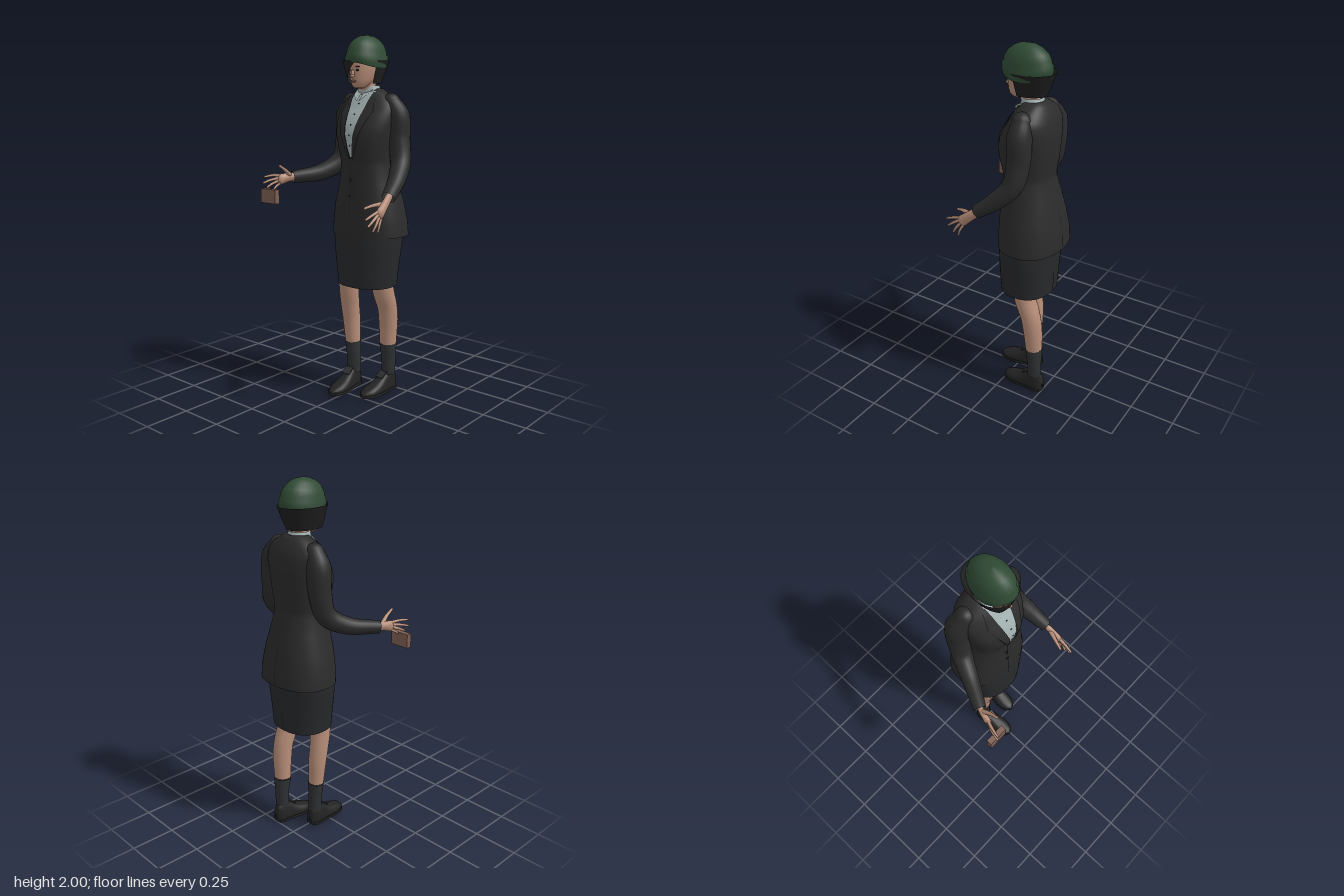
import * as THREE from 'three';
import { mergeVertices } from 'three/addons/utils/BufferGeometryUtils.js';

const mat = (name, color, side = THREE.DoubleSide) =>
  Object.assign(new THREE.MeshStandardMaterial({ color, side }), { name });
const M = {
  jacket: mat('jacket charcoal', 0x2b2b2c),
  skirt: mat('skirt charcoal', 0x28292b),
  skin: mat('skin', 0xb58c77),
  shirt: mat('shirt grey', 0xa2b0b0),
  hat: mat('hat green', 0x2f4a34),
  hair: mat('hair black', 0x1f1f20),
  sock: mat('sock grey', 0x2f3032),
  shoe: mat('shoe black', 0x232324),
  block: mat('case brown', 0x7d5f54),
  lips: mat('lips', 0x8d5a50),
};

export function createModel() {
  const model = new THREE.Group();
  model.name = 'standingFigure';
  const add = (name, geo, material, parent = model) => {
    const mesh = new THREE.Mesh(geo, material);
    mesh.name = name;
    parent.add(mesh);
    return mesh;
  };

  // Grid surface from fn(u, v) -> [x, y, z]
  const surface = (nu, nv, fn) => {
    const p = [], idx = [];
    for (let j = 0; j <= nv; j++)
      for (let i = 0; i <= nu; i++) p.push(...fn(i / nu, j / nv));
    for (let j = 0; j < nv; j++)
      for (let i = 0; i < nu; i++) {
        const a = j * (nu + 1) + i, d = a + nu + 1;
        idx.push(a, a + 1, d, a + 1, d + 1, d);
      }
    let g = new THREE.BufferGeometry();
    g.setAttribute('position', new THREE.Float32BufferAttribute(p, 3));
    g.setIndex(idx);
    g = mergeVertices(g, 1e-5);
    g.computeVertexNormals();
    return g;
  };

  const sgnPow = (v, e) => Math.sign(v) * Math.abs(v) ** e;

  // Linear sample of rows keyed by their first number
  const sample = (rows, k) => {
    let i = 0;
    while (i < rows.length - 2 && k > rows[i + 1][0]) i++;
    const a = rows[i], b = rows[i + 1];
    const t = THREE.MathUtils.clamp((k - a[0]) / (b[0] - a[0]), 0, 1);
    return a.map((n, c) => n + (b[c] - n) * t);
  };

  // Stack of oval rings [y, cx, cz, rx, rz]
  const loft = (rings, n = 2, seg = 48) => surface(seg, rings.length - 1, (u, v) => {
    const [y, cx, cz, rx, rz] = rings[Math.round(v * (rings.length - 1))];
    const a = u * Math.PI * 2;
    return [cx + rx * sgnPow(Math.sin(a), 2 / n), y, cz + rz * sgnPow(Math.cos(a), 2 / n)];
  });

  // Tapered tube through [x, y, z, radius], with optional rounded tip
  const limb = (name, pts, material, { flat = 1, tip = false, parent = model, seg = 20, rad = 20 } = {}) => {
    const curve = new THREE.CatmullRomCurve3(pts.map(p => new THREE.Vector3(p[0], p[1], p[2])));
    const radii = pts.map((p, i) => [i / (pts.length - 1), p[3]]);
    const g = new THREE.TubeGeometry(curve, seg, 1, rad);
    const pos = g.attributes.position, q = new THREE.Vector3();
    for (let i = 0; i <= seg; i++) {
      const c = curve.getPointAt(i / seg), r = sample(radii, curve.getUtoTmapping(i / seg))[1];
      for (let j = 0; j <= rad; j++) {
        const k = i * (rad + 1) + j;
        q.fromBufferAttribute(pos, k).sub(c).multiplyScalar(r);
        pos.setXYZ(k, c.x + q.x * flat, c.y + q.y, c.z + q.z);
      }
    }
    add(name, g, material, parent);
    if (tip) ball(name + 'Tip', pts.at(-1), [pts.at(-1)[3] * flat, pts.at(-1)[3], pts.at(-1)[3]], material, parent);
  };

  const ball = (name, at, size, material, parent = model) => {
    const m = add(name, new THREE.SphereGeometry(1, 16, 12), material, parent);
    m.position.set(at[0], at[1], at[2]);
    m.scale.set(...size);
    return m;
  };

  // Jacket body
  const torso = [
    [0.925, 0.06, -0.14, 0.22, 0.17], [1.0, 0.06, -0.137, 0.214, 0.17], [1.1, 0.06, -0.13, 0.195, 0.16],
    [1.2, 0.06, -0.123, 0.166, 0.146], [1.3, 0.06, -0.11, 0.147, 0.129], [1.34, 0.06, -0.108, 0.146, 0.131],
    [1.4, 0.06, -0.106, 0.155, 0.143], [1.48, 0.06, -0.105, 0.168, 0.15], [1.53, 0.06, -0.113, 0.176, 0.143],
    [1.58, 0.06, -0.125, 0.18, 0.128], [1.62, 0.06, -0.135, 0.178, 0.11], [1.65, 0.06, -0.138, 0.164, 0.096],
    [1.68, 0.06, -0.14, 0.13, 0.078], [1.70, 0.06, -0.14, 0.095, 0.064], [1.72, 0.06, -0.14, 0.065, 0.052],
    [1.72, 0.06, -0.14, 0.0001, 0.0001],
  ];
  add('jacketBody', loft(torso, 2.3, 64), M.jacket);

  // Thin patch that hugs a lofted body between two x edges; dir -1 is the back
  const patch = (name, rings, n, y0, y1, edges, off, material, dir = 1, nu = 8) =>
    add(name, surface(nu, 20, (u, v) => {
      const y = y0 + (y1 - y0) * v, [xa, xb] = edges(v), x = xa + (xb - xa) * u;
      const [, cx, cz, rx, rz] = sample(rings, y);
      const d = Math.min(1, Math.abs((x - cx) / rx));
      return [x, y, cz + dir * (rz * (1 - d ** n) ** (1 / n) + off)];
    }), material);
  const vEdge = v => 0.006 + 0.062 * v;
  patch('shirtFront', torso, 2.3, 1.36, 1.705, v => [0.06 - vEdge(v), 0.06 + vEdge(v)], 0.004, M.shirt);
  patch('jacketFrontSeam', torso, 2.3, 0.93, 1.36, () => [0.051, 0.054], 0.003, M.hair, 1, 1);
  patch('jacketBackVent', torso, 2.3, 0.93, 1.15, () => [0.056, 0.061], 0.003, M.hair, -1, 1);
  for (const s of [-1, 1]) {
    const wide = v => v < 0.72 ? 0.012 + 0.085 * v : 0.073 - 0.19 * (v - 0.72);
    patch('lapel', torso, 2.3, 1.35, 1.7, v => [0.06 + s * vEdge(v) * 0.93, 0.06 + s * (vEdge(v) + wide(v) * 0.75)],
      0.009, M.jacket);
    patch('lapelEdge', torso, 2.3, 1.35, 1.62, v => {
      const e = vEdge(v * 0.77) + wide(v * 0.77) * 0.75;
      return [0.06 + s * e, 0.06 + s * (e + 0.003)];
    }, 0.005, M.hair, 1, 1);
  }
  for (const y of [1.235, 1.15]) {
    const [, , cz, , rz] = sample(torso, y);
    ball('jacketButton', [0.046, y, cz + rz + 0.002], [0.009, 0.009, 0.004], M.hair);
  }
  for (let y = 1.42; y < 1.66; y += 0.055) {
    const [, , cz, , rz] = sample(torso, y);
    ball('shirtButton', [0.06, y, cz + rz + 0.005], [0.004, 0.004, 0.003], M.sock);
  }

  // Collar
  add('shirtCollar', loft([[1.68, 0.06, -0.13, 0.075, 0.066], [1.715, 0.06, -0.122, 0.062, 0.06],
    [1.735, 0.06, -0.118, 0.056, 0.057]]), M.shirt);
  for (const s of [-1, 1])
    add('collarWing', surface(1, 1, (u, v) => [0.06 + s * (0.006 + 0.05 * u - 0.012 * v * u),
      1.695 + 0.02 * u - v * (0.045 - 0.015 * u), -0.062 - 0.025 * u + 0.042 * v]), M.shirt);

  // Skirt
  const skirt = [[0.64, 0.0625, -0.112, 0.167, 0.143], [0.72, 0.0625, -0.112, 0.176, 0.146],
    [0.82, 0.061, -0.115, 0.191, 0.148], [0.92, 0.06, -0.12, 0.204, 0.15], [1.0, 0.06, -0.125, 0.2, 0.145]];
  add('skirt', loft(skirt, 2.3), M.skirt);
  patch('skirtVent', skirt, 2.3, 0.642, 0.76, () => [0.057, 0.063], 0.003, M.hair, -1, 1);

  // Sleeves
  limb('rightSleeve', [[-0.075, 1.645, -0.14, 0.05], [-0.115, 1.575, -0.15, 0.066], [-0.125, 1.45, -0.15, 0.061],
    [-0.14, 1.325, -0.12, 0.055], [-0.19, 1.26, -0.02, 0.047], [-0.275, 1.236, 0.135, 0.034]], M.jacket, { seg: 40 });
  limb('leftSleeve', [[0.195, 1.645, -0.14, 0.05], [0.232, 1.575, -0.15, 0.065], [0.242, 1.45, -0.15, 0.061],
    [0.268, 1.33, -0.13, 0.055], [0.3, 1.24, -0.05, 0.047], [0.325, 1.165, 0.05, 0.036]], M.jacket, { seg: 40 });
  ball('rightShoulder', [-0.075, 1.645, -0.14], [0.051, 0.051, 0.051], M.jacket);
  ball('leftShoulder', [0.195, 1.645, -0.14], [0.051, 0.051, 0.051], M.jacket);

  // Hands: palm, four fingers and a thumb
  const hand = (name, palm, fingers, thumb) => {
    const g = new THREE.Group();
    g.name = name;
    model.add(g);
    limb('palm', palm, M.skin, { flat: 0.55, tip: true, parent: g });
    for (const f of fingers) limb('finger', f, M.skin, { tip: true, parent: g, seg: 6, rad: 8 });
    limb('thumb', thumb, M.skin, { tip: true, parent: g, seg: 6, rad: 8 });
  };
  hand('rightHand',
    [[-0.262, 1.238, 0.11, 0.023], [-0.28, 1.237, 0.155, 0.025], [-0.293, 1.23, 0.2, 0.029]],
    [[[-0.294, 1.248, 0.205, 0.0095], [-0.312, 1.253, 0.255, 0.008], [-0.323, 1.248, 0.302, 0.006]],
      [[-0.296, 1.235, 0.21, 0.0095], [-0.318, 1.228, 0.26, 0.008], [-0.328, 1.215, 0.306, 0.006]],
      [[-0.296, 1.222, 0.21, 0.009], [-0.315, 1.208, 0.25, 0.008], [-0.32, 1.19, 0.287, 0.006]],
      [[-0.292, 1.211, 0.2, 0.0085], [-0.303, 1.195, 0.23, 0.007], [-0.303, 1.178, 0.254, 0.0055]]],
    [[-0.28, 1.245, 0.15, 0.014], [-0.268, 1.28, 0.2, 0.01], [-0.266, 1.306, 0.242, 0.007]]);
  hand('leftHand',
    [[0.32, 1.175, 0.03, 0.024], [0.332, 1.13, 0.09, 0.027], [0.337, 1.098, 0.13, 0.03]],
    [[[0.336, 1.108, 0.145, 0.0095], [0.334, 1.092, 0.2, 0.008], [0.33, 1.077, 0.238, 0.006]],
      [[0.338, 1.096, 0.145, 0.0095], [0.34, 1.065, 0.195, 0.008], [0.336, 1.042, 0.226, 0.006]],
      [[0.339, 1.085, 0.138, 0.009], [0.344, 1.045, 0.172, 0.008], [0.34, 1.014, 0.192, 0.006]],
      [[0.338, 1.077, 0.124, 0.0085], [0.345, 1.035, 0.148, 0.007], [0.343, 1.006, 0.158, 0.0055]]],
    [[0.325, 1.14, 0.09, 0.014], [0.302, 1.135, 0.15, 0.01], [0.288, 1.125, 0.195, 0.007]]);

  // Small case below the right hand
  add('smallCase', new THREE.BoxGeometry(0.11, 0.078, 0.031), M.block).position.set(-0.308, 1.142, 0.279);

  // Legs, socks and shoes
  const shoeProfile = [[0, 0.004, 0.05], [0.02, 0.028, 0.095], [0.1, 0.038, 0.128], [0.25, 0.039, 0.125],
    [0.38, 0.041, 0.105], [0.5, 0.046, 0.08], [0.65, 0.05, 0.064], [0.8, 0.047, 0.052], [0.93, 0.032, 0.04], [1, 0.004, 0.022]];
  const len = 0.265;
  const upper = surface(24, shoeProfile.length - 1, (u, v) => {
    const [s, w, h] = shoeProfile[Math.round(v * (shoeProfile.length - 1))], a = Math.PI * u;
    return [w * sgnPow(Math.cos(a), 0.8), 0.014 + (h - 0.014) * Math.sin(a) ** 0.8, s * len];
  });
  const outline = new THREE.Shape();
  outline.setFromPoints([...shoeProfile.map(([s, w]) => new THREE.Vector2(w + 0.003, -s * len)),
    ...shoeProfile.slice().reverse().map(([s, w]) => new THREE.Vector2(-w - 0.003, -s * len))]);
  const sole = new THREE.ExtrudeGeometry(outline, { depth: 0.016, bevelEnabled: false }).rotateX(-Math.PI / 2);
  const leg = (side, pts, heel, turn) => {
    limb(side + 'Leg', pts.slice(0, 5), M.skin, { seg: 30 });
    limb(side + 'Sock', pts.slice(4).map(([x, y, z, r]) => [x, y, z, r + 0.002]), M.sock);
    const g = new THREE.Group();
    g.name = side + 'Shoe';
    g.position.set(...heel);
    g.rotation.y = turn;
    model.add(g);
    add('shoeUpper', upper, M.shoe, g);
    add('sole', sole, M.shoe, g).position.y = 0.004;
    add('heel', new THREE.BoxGeometry(0.066, 0.02, 0.07), M.shoe, g).position.set(0, 0.01, 0.045);
    add('laces', new THREE.BoxGeometry(0.05, 0.006, 0.05), M.sock, g).position.set(0, 0.103, 0.105);
    g.children.at(-1).rotation.x = 0.65;
  };
  leg('right', [[-0.015, 0.8, -0.06, 0.072], [-0.028, 0.62, -0.058, 0.057], [-0.036, 0.5, -0.078, 0.053],
    [-0.036, 0.42, -0.09, 0.051], [-0.03, 0.285, -0.096, 0.044], [-0.024, 0.19, -0.098, 0.037], [-0.022, 0.1, -0.1, 0.037]],
    [-0.03, 0.015, -0.143], 0.08);
  leg('left', [[0.145, 0.8, -0.12, 0.075], [0.153, 0.62, -0.135, 0.061], [0.156, 0.5, -0.175, 0.056],
    [0.154, 0.42, -0.188, 0.055], [0.148, 0.285, -0.195, 0.048], [0.15, 0.19, -0.2, 0.038], [0.148, 0.1, -0.2, 0.037]],
    [0.147, 0, -0.252], -0.08);

  // Head and face
  limb('neck', [[0.06, 1.66, -0.125, 0.05], [0.06, 1.72, -0.108, 0.047], [0.06, 1.78, -0.09, 0.052]], M.skin);
  add('head', loft([[1.718, 0.06, -0.035, 0.0001, 0.0001], [1.722, 0.06, -0.035, 0.022, 0.03],
    [1.74, 0.06, -0.048, 0.043, 0.056], [1.765, 0.06, -0.065, 0.055, 0.08], [1.8, 0.06, -0.08, 0.066, 0.097],
    [1.835, 0.06, -0.088, 0.071, 0.108], [1.88, 0.06, -0.09, 0.07, 0.107], [1.92, 0.06, -0.09, 0.05, 0.08]]), M.skin);
  ball('nose', [0.06, 1.797, 0.016], [0.01, 0.024, 0.014], M.skin).rotation.x = -0.3;
  ball('noseTip', [0.06, 1.785, 0.023], [0.012, 0.009, 0.012], M.skin);
  ball('lips', [0.06, 1.757, 0.012], [0.018, 0.006, 0.006], M.lips);
  for (const s of [-1, 1]) {
    ball('eye', [0.06 + s * 0.026, 1.815, 0.011], [0.011, 0.005, 0.005], M.hair);
    ball('eyebrow', [0.06 + s * 0.027, 1.832, 0.013], [0.015, 0.003, 0.005], M.hair);
  }

  // Flaring bob with a slanted fringe over the right eye
  const a0 = 1.29, a1 = 6.64;
  add('hair', surface(60, 8, (u, v) => {
    const a = a0 + (a1 - a0) * u, fall = a < 5.7 ? 1 : (a1 - a) / (a1 - 5.7);
    const t = v * fall, c = Math.cos(a);
    return [0.055 + 0.113 * (1 - 0.35 * t) * Math.sin(a), 1.865 - 0.12 * t,
      -0.1 + 0.144 * (1 - (c > 0 ? 0.15 : 0.35) * t) * c];
  }), M.hair);

  // Soft hat with a turned-up band
  const hatProfile = [[0, 0.98], [0.14, 1.02], [0.3, 1.0], [0.34, 0.95], [0.5, 0.92], [0.68, 0.8],
    [0.85, 0.58], [0.95, 0.34], [1, 0.0001]];
  add('hat', surface(28, hatProfile.length - 1, (u, v) => {
    const [h, r] = hatProfile[Math.round(v * (hatProfile.length - 1))], a = u * Math.PI * 2;
    const rim = 1.825 + 0.03 * Math.cos(a) ** 2;
    return [0.064 + 0.098 * r * Math.sin(a), rim + (2 - rim) * h, -0.092 + 0.136 * r * Math.cos(a)];
  }), M.hat);

  return model;
}
